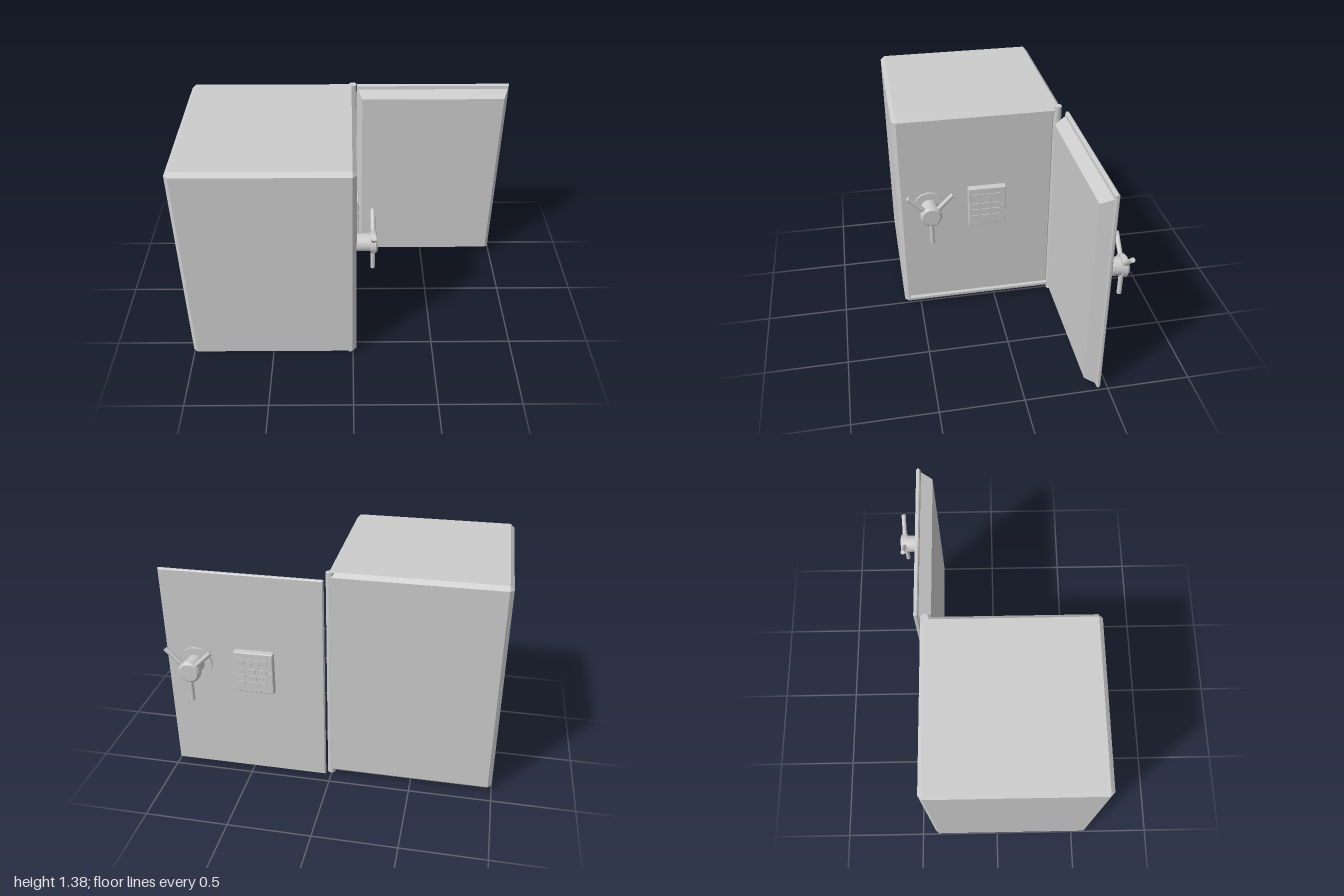
import * as THREE from 'three';

const flat = new THREE.MeshStandardMaterial({ color: 0xcccccc, flatShading: true });
const smooth = new THREE.MeshStandardMaterial({ color: 0xcccccc });

function add(parent, name, geometry, material, x = 0, y = 0, z = 0) {
  const mesh = new THREE.Mesh(geometry, material);
  mesh.name = name;
  mesh.position.set(x, y, z);
  parent.add(mesh);
  return mesh;
}

// Rectangle [x0, x1, y0, y1] at depth z, shrunk by inset, corners cut by c
function ring([x0, x1, y0, y1], z, inset, c = 0) {
  const l = x0 + inset, r = x1 - inset, b = y0 + inset, t = y1 - inset;
  return [[l + c, b], [r - c, b], [r, b + c], [r, t - c], [r - c, t], [l + c, t], [l, t - c], [l, b + c]]
    .map(([x, y]) => new THREE.Vector3(x, y, z));
}

// Skin the rings in order and cap both ends
function loft(rings) {
  const points = [];
  const n = 8;
  for (let i = 0; i + 1 < rings.length; i++) {
    for (let j = 0; j < n; j++) {
      const k = (j + 1) % n, a = rings[i], b = rings[i + 1];
      points.push(a[j], a[k], b[k], a[j], b[k], b[j]);
    }
  }
  const first = rings[0], last = rings[rings.length - 1];
  for (let j = 1; j < n - 1; j++) {
    points.push(first[0], first[j + 1], first[j], last[0], last[j], last[j + 1]);
  }
  const geometry = new THREE.BufferGeometry().setFromPoints(points);
  geometry.computeVertexNormals();
  return geometry;
}

// Turned part whose axis points out of the door
function turned(profile) {
  const points = profile.map(([r, h]) => new THREE.Vector2(r, h));
  return new THREE.LatheGeometry(points, 32).toNonIndexed().rotateX(Math.PI / 2);
}

function createHandle() {
  const handle = new THREE.Group();
  handle.name = 'handle';
  add(handle, 'handleFlange', new THREE.CylinderGeometry(0.1, 0.1, 0.014, 32).rotateX(Math.PI / 2), smooth, 0, 0, 0.018);
  add(handle, 'handleHub', new THREE.CylinderGeometry(0.054, 0.054, 0.14, 32).rotateX(Math.PI / 2), smooth, 0, 0, 0.07);
  // Collar and bevelled end of the hub
  const cap = turned([[0.054, 0.108], [0.066, 0.108], [0.066, 0.138], [0.054, 0.15], [0, 0.15]]);
  cap.computeVertexNormals();
  add(handle, 'handleCap', cap, flat);
  for (const angle of [Math.PI / 4, -Math.PI / 4, Math.PI]) {
    const spoke = add(handle, 'handleSpoke', new THREE.CylinderGeometry(0.014, 0.014, 0.16, 16).translate(0, 0.116, 0), smooth, 0, 0, 0.124);
    spoke.rotation.z = angle;
  }
  return handle;
}

function createKeypad() {
  const keypad = new THREE.Group();
  keypad.name = 'keypad';
  const outline = [-0.1175, 0.1175, -0.133, 0.133];
  add(keypad, 'keypadCase', loft([ring(outline, 0, 0), ring(outline, 0.037, 0), ring(outline, 0.041, 0.004)]), flat);
  const button = (name, x, y, w, h) => add(keypad, name, new THREE.BoxGeometry(w, h, 0.01), flat, x, y, 0.041);
  for (const x of [-0.078, -0.03, 0.019, 0.066]) button('functionButton', x, 0.073, 0.038, 0.04);
  for (const y of [0.012, -0.03, -0.073]) {
    for (const x of [-0.076, -0.01, 0.054]) button('numberButton', x, y, 0.048, 0.03);
  }
  button('enterButton', 0.102, -0.033, 0.026, 0.09);
  return keypad;
}

// Door hung from x = 0 and reaching toward -x, outer face at z = 0
function createDoor(name) {
  const door = new THREE.Group();
  door.name = name;
  const outline = [-0.995, -0.03, 0.015, 1.345];
  const plug = [-0.995, -0.03, 0.035, 1.325];
  add(door, 'doorSlab', loft([
    ring([-0.96, -0.065, 0.073, 1.283], -0.095, 0),
    ring(plug, -0.027, 0.007),
    ring(outline, -0.025, 0.006),
    ring(outline, -0.019, 0),
    ring(outline, -0.006, 0),
    ring(outline, 0, 0.006),
  ]), flat);
  const handle = createHandle();
  handle.position.set(-0.81, 0.757, 0);
  const keypad = createKeypad();
  keypad.position.set(-0.4475, 0.733, 0);
  door.add(handle, keypad);
  return door;
}

export function createModel() {
  const model = new THREE.Group();
  model.name = 'safe';

  // Chamfered cabinet with a shallow recess in its doorway side
  const outline = [-0.605, 0.415, 0.01, 1.375];
  const b = 0.024;
  const opening = [-0.57, 0.378, 0.05, 1.338];
  const cabinet = add(model, 'cabinet', loft([
    ring(outline, -1, b),
    ring(outline, -1 + b, 0, b),
    ring(outline, 0.02 - b, 0, b),
    ring(outline, 0.02, b),
    ring(opening, 0.02, 0),
    ring(opening, -0.02, 0),
  ]), flat);
  cabinet.rotation.y = Math.PI / 2;

  // Shut door set into the recess
  const shutDoor = createDoor('shutDoor');
  shutDoor.position.set(-0.005, 0, -0.4);
  shutDoor.rotation.y = Math.PI / 2;
  model.add(shutDoor);

  // Door swung open in line with the back
  const openDoor = createDoor('openDoor');
  openDoor.position.set(0, 0, -0.455);
  openDoor.rotation.y = Math.PI;
  model.add(openDoor);

  // Hinge post between cabinet and open door
  add(model, 'hingePost', new THREE.CylinderGeometry(0.024, 0.024, 1.375, 20), smooth, 0.004, 0.6875, -0.39);
  return model;
}
